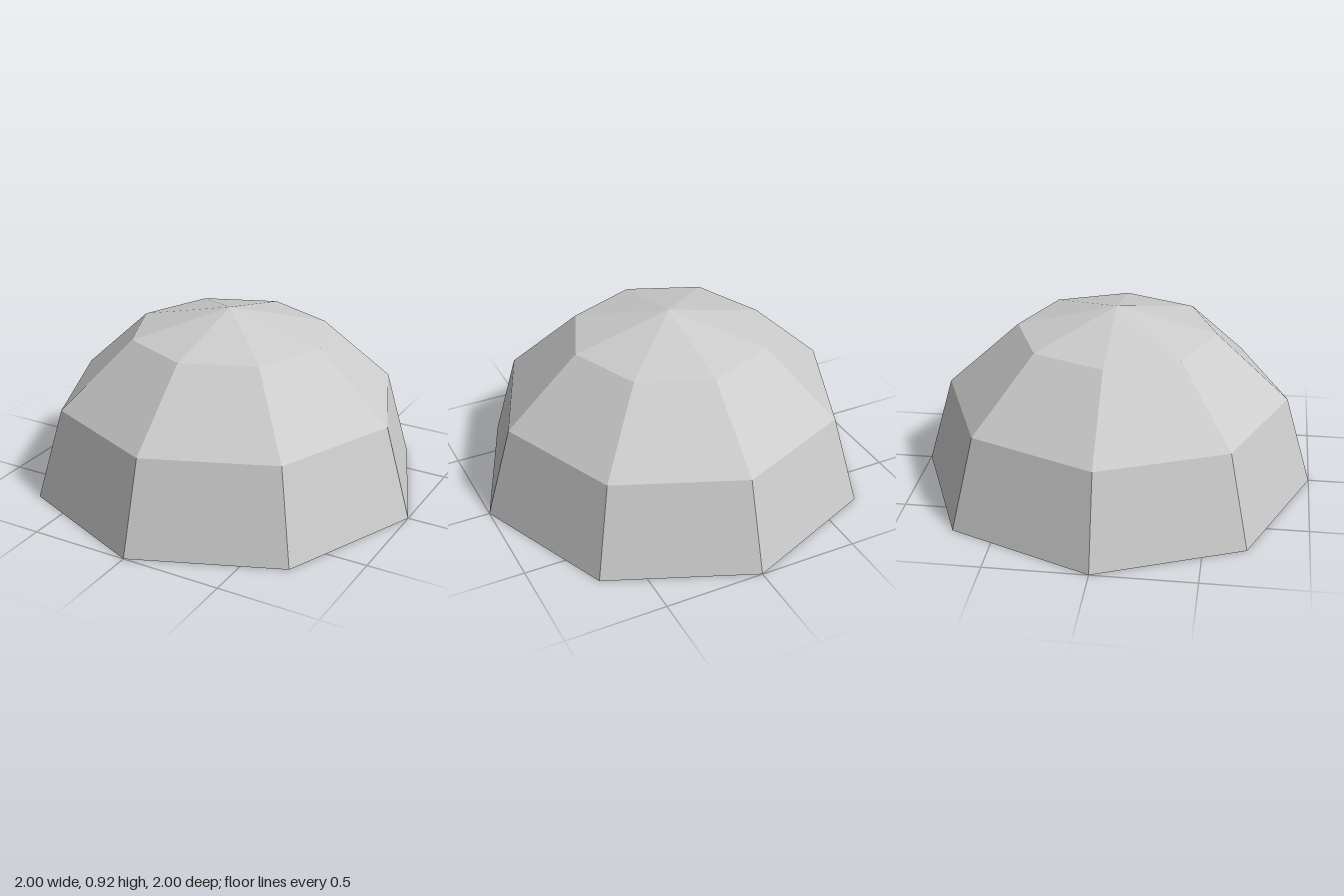
import * as THREE from 'three';

const SIDES = 8;
const HEIGHT = 0.92;

export function createModel() {
  const group = new THREE.Group();
  group.name = 'facetedDome';
  const grey = new THREE.MeshStandardMaterial({ color: 0xcccccc, flatShading: true });
  grey.name = 'light grey';

  const add = (name, geometry) => {
    const flat = geometry.toNonIndexed();
    flat.computeVertexNormals();
    const mesh = new THREE.Mesh(flat, grey);
    mesh.name = name;
    group.add(mesh);
  };

  // Three octagonal bands, each spanning 30 degrees of a slightly squashed hemisphere
  ['lowerBand', 'middleBand', 'crown'].forEach((name, i) => {
    const low = (i * Math.PI) / 6;
    const high = ((i + 1) * Math.PI) / 6;
    const y0 = HEIGHT * Math.sin(low);
    const y1 = HEIGHT * Math.sin(high);
    const topRadius = i === 2 ? 0 : Math.cos(high);
    const band = new THREE.CylinderGeometry(topRadius, Math.cos(low), y1 - y0, SIDES, 1, true);
    add(name, band.translate(0, (y0 + y1) / 2, 0));
  });

  // Flat underside
  add('base', new THREE.CircleGeometry(1, SIDES).rotateX(Math.PI / 2));

  return group;
}
